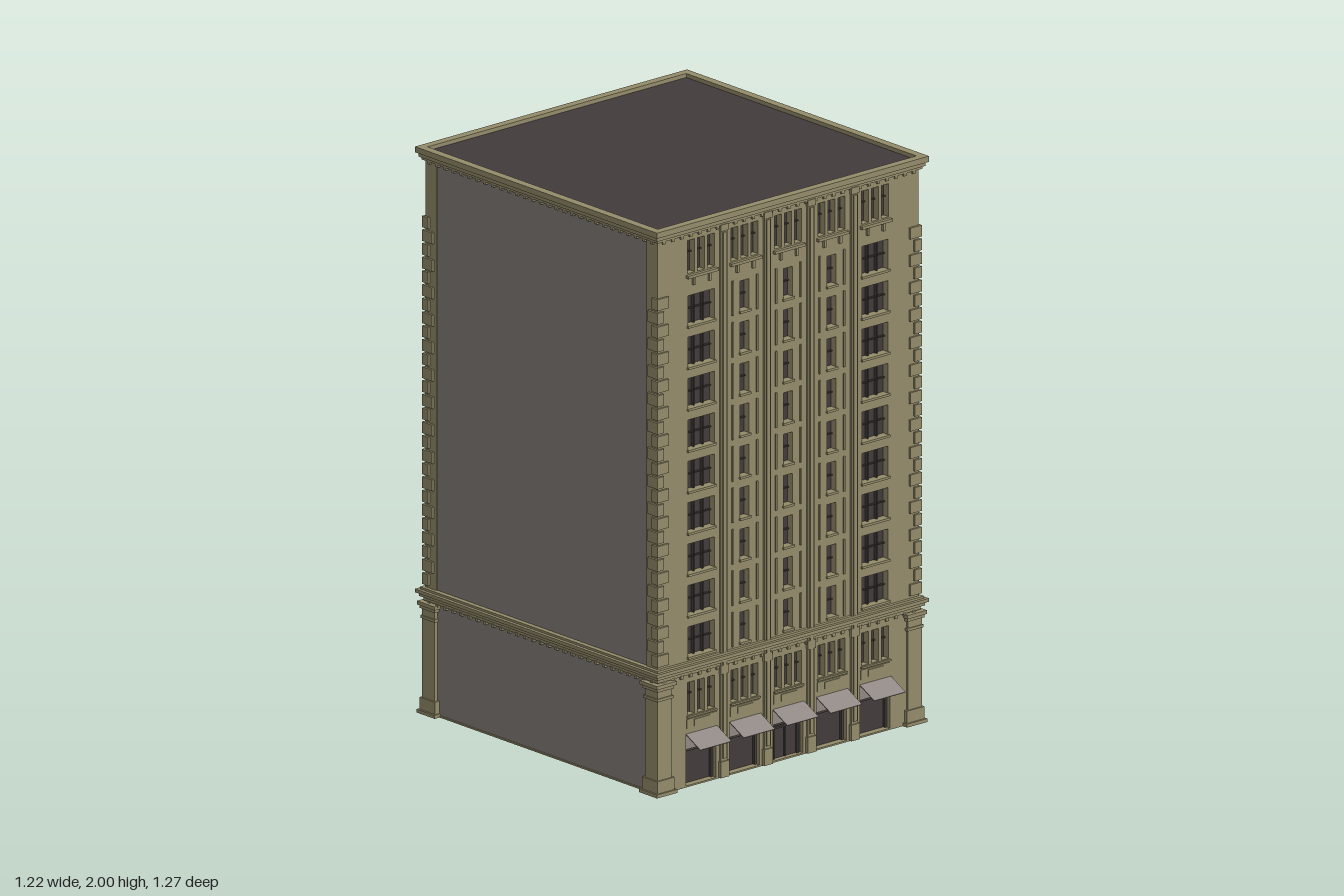
import * as THREE from 'three';
import { mergeGeometries } from 'three/addons/utils/BufferGeometryUtils.js';

const mat = (name, color) => new THREE.MeshStandardMaterial({ name, color });

// box from its lower and upper corners
function box(x0, x1, y0, y1, z0, z1) {
  return new THREE.BoxGeometry(x1 - x0, y1 - y0, z1 - z0)
    .translate((x0 + x1) / 2, (y0 + y1) / 2, (z0 + z1) / 2);
}

function rect(Type, x0, x1, y0, y1) {
  const p = new Type();
  p.moveTo(x0, y0).lineTo(x1, y0).lineTo(x1, y1).lineTo(x0, y1).closePath();
  return p;
}

// square moulding around the whole building
const slab = (half, y0, y1) => box(-half, half, y0, y1, -half, half);

const BAYS = [-0.39, -0.195, 0, 0.195, 0.39];
const FLOORS = Array.from({ length: 9 }, (_, i) => 0.513 + i * 0.1463);
const FACE = 0.585;

export function createModel() {
  const stone = mat('stone', 0x938b6a);
  const dark = mat('dark glass and roof', 0x423b3b);
  const grey = mat('plain grey wall', 0x857e78);
  const canvas = mat('awning canvas', 0x8f8783);

  const model = new THREE.Group();
  const building = new THREE.Group();
  building.name = 'building';
  building.position.z = -0.025;
  model.add(building);

  const add = (parent, name, geos, material) => {
    const mesh = new THREE.Mesh(Array.isArray(geos) ? mergeGeometries(geos) : geos, material);
    mesh.name = name;
    parent.add(mesh);
    return mesh;
  };

  // dark interior seen through the openings, and the roof deck
  add(building, 'interior', box(-0.56, 0.56, 0.004, 1.96, -0.56, 0.56), dark);
  add(building, 'roof', slab(0.582, 1.975, 1.986), dark);
  add(building, 'floorSlab', slab(0.584, 0, 0.006), stone);

  // blank walls on the back and the right
  add(building, 'blankWalls', [
    box(-0.55, 0.55, 0.003, 1.96, -0.58, -0.555),
    box(-0.58, -0.555, 0.003, 1.96, -0.55, 0.56),
  ], grey);

  // corner posts, quoins and ground-floor piers
  const posts = [], quoins = [], piers = [];
  for (const sx of [-1, 1]) for (const sz of [-1, 1]) {
    const corner = (list, lx, lz, out, y0, y1) => {
      const o = FACE + out;
      list.push(box(Math.min(sx * o, sx * (FACE - lx)), Math.max(sx * o, sx * (FACE - lx)), y0, y1,
        Math.min(sz * o, sz * (FACE - lz)), Math.max(sz * o, sz * (FACE - lz))));
    };
    corner(posts, 0.085, 0.055, 0, 0.003, 1.96);
    for (let i = 0; i < 27; i++) {
      const y = 0.455 + i * 0.0485;
      const long = i % 2 === 0;
      corner(quoins, long ? 0.043 : 0.022, long ? 0.022 : 0.043, 0.008, y, y + 0.04);
    }
    corner(piers, 0.055, 0.055, 0.008, 0.01, 0.38);
    corner(piers, 0.07, 0.07, 0.021, 0, 0.012);
    corner(piers, 0.064, 0.064, 0.014, 0.012, 0.055);
    corner(piers, 0.06, 0.06, 0.012, 0.335, 0.345);
    corner(piers, 0.062, 0.062, 0.014, 0.37, 0.382);
    corner(piers, 0.068, 0.068, 0.02, 0.382, 0.395);
  }
  add(building, 'cornerPosts', posts, stone);
  add(building, 'quoins', quoins, stone);
  add(building, 'cornerPiers', piers, stone);

  // belt course between shop floors and tower
  add(building, 'beltCourse', [
    slab(0.59, 0.398, 0.412), slab(0.6, 0.412, 0.425), slab(0.61, 0.425, 0.437), slab(0.598, 0.437, 0.445),
  ], stone);

  // crowning cornice with a low lip around the roof
  add(building, 'cornice', [slab(0.594, 1.955, 1.965), slab(0.601, 1.965, 1.98)], stone);
  const lip = rect(THREE.Shape, -0.61, 0.61, -0.61, 0.61);
  lip.holes.push(rect(THREE.Path, -0.58, 0.58, -0.58, 0.58));
  add(building, 'roofLip', new THREE.ExtrudeGeometry(lip, { depth: 0.02, bevelEnabled: false })
    .rotateX(-Math.PI / 2).translate(0, 1.98, 0), stone);

  // dentils under both mouldings, on all four sides
  const dentils = [];
  for (let side = 0; side < 4; side++) {
    for (let x = -0.56; x < 0.57; x += 0.04) {
      for (const y of [0.389, 1.945]) {
        dentils.push(box(x - 0.006, x + 0.006, y, y + 0.012, 0.575, 0.592).rotateY(side * Math.PI / 2));
      }
    }
  }
  add(building, 'dentils', dentils, stone);

  // one decorated street wall, facing +z
  function facade(name) {
    const g = new THREE.Group();
    g.name = name;
    const wall = rect(THREE.Shape, -FACE, FACE, 0.003, 1.958);
    const bars = [], trim = [];
    const hole = (x, w, y0, y1) => wall.holes.push(rect(THREE.Path, x - w / 2, x + w / 2, y0, y1));

    BAYS.forEach((bx, i) => {
      const outer = i === 0 || i === 4;
      hole(bx, 0.134, 0.006, 0.187);
      for (const o of [-0.045, 0, 0.045]) {
        hole(bx + o, 0.032, 0.255, 0.37);
        hole(bx + o, 0.032, 1.815, 1.932);
        for (const y of [0.325, 1.885]) {
          bars.push(box(bx + o - 0.016, bx + o + 0.016, y - 0.002, y + 0.002, 0.555, 0.568));
        }
      }
      // sills, brackets and the panel above the shop front
      trim.push(box(bx - 0.068, bx + 0.068, 1.8, 1.81, 0.58, 0.598));
      trim.push(box(bx - 0.066, bx + 0.066, 0.246, 0.252, 0.58, 0.593));
      trim.push(box(bx - 0.066, bx + 0.066, 0.207, 0.241, 0.58, 0.588));
      trim.push(box(bx - 0.035, bx + 0.035, 0.212, 0.236, 0.58, 0.591));
      for (const o of [-0.035, 0.035]) {
        trim.push(box(bx + o - 0.005, bx + o + 0.005, 1.772, 1.8, 0.58, 0.594));
      }
      // shop front bars
      bars.push(box(bx - 0.067, bx + 0.067, 0.122, 0.13, 0.555, 0.572));
      for (const o of [-0.062, 0.062]) bars.push(box(bx + o - 0.004, bx + o + 0.004, 0.006, 0.125, 0.555, 0.57));

      for (const fy of FLOORS) {
        const w = outer ? 0.118 : 0.04;
        hole(bx, w, fy - 0.053, fy + 0.053);
        trim.push(box(bx - w / 2 - 0.004, bx + w / 2 + 0.004, fy - 0.061, fy - 0.053, 0.58, 0.592));
        bars.push(box(bx - w / 2, bx + w / 2, fy - 0.002, fy + 0.002, 0.555, 0.568));
        if (outer) {
          for (const o of [-0.02, 0.02]) {
            bars.push(box(bx + o - 0.003, bx + o + 0.003, fy - 0.053, fy + 0.053, 0.555, 0.572));
          }
        } else {
          // narrow strips flanking the slim windows
          for (const o of [-0.055, 0.055]) {
            trim.push(box(bx + o - 0.003, bx + o + 0.003, fy - 0.062, fy + 0.062, 0.58, 0.589));
          }
        }
      }
    });

    // pilasters between the bays
    const pilasters = [];
    for (const x of [-0.2925, -0.0975, 0.0975, 0.2925]) {
      pilasters.push(box(x - 0.015, x + 0.015, 0.003, 1.958, 0.58, 0.592));
      pilasters.push(box(x - 0.008, x + 0.008, 0.07, 1.93, 0.58, 0.597));
      pilasters.push(box(x - 0.019, x + 0.019, 0.003, 0.06, 0.58, 0.597));
      pilasters.push(box(x - 0.018, x + 0.018, 0.37, 0.4, 0.58, 0.597));
      pilasters.push(box(x - 0.018, x + 0.018, 1.935, 1.958, 0.58, 0.597));
    }

    add(g, 'wall', new THREE.ExtrudeGeometry(wall, { depth: 0.03, bevelEnabled: false })
      .translate(0, 0, FACE - 0.03), stone);
    add(g, 'windowBars', bars, dark);
    add(g, 'trim', trim, stone);
    add(g, 'pilasters', pilasters, stone);
    building.add(g);
    return g;
  }
  const front = facade('frontFacade');
  facade('leftFacade').rotation.y = Math.PI / 2;

  // awnings and transoms over the front shops
  const awnings = [], transoms = [];
  for (const bx of BAYS) {
    awnings.push(new THREE.BoxGeometry(0.14, 0.003, 0.082).rotateX(0.48).translate(bx, 0.17, 0.623));
    transoms.push(box(bx - 0.067, bx + 0.067, 0.132, 0.187, 0.574, 0.58));
  }
  add(front, 'awnings', awnings, canvas);
  add(front, 'transoms', transoms, canvas);

  // entrance door in the middle bay
  add(front, 'door', [
    box(-0.05, 0.05, 0.006, 0.112, 0.556, 0.566),
    box(-0.003, 0.003, 0.006, 0.112, 0.56, 0.57),
    box(-0.056, -0.05, 0.006, 0.118, 0.556, 0.574),
    box(0.05, 0.056, 0.006, 0.118, 0.556, 0.574),
    box(-0.056, 0.056, 0.112, 0.118, 0.556, 0.574),
  ], dark);

  return model;
}
